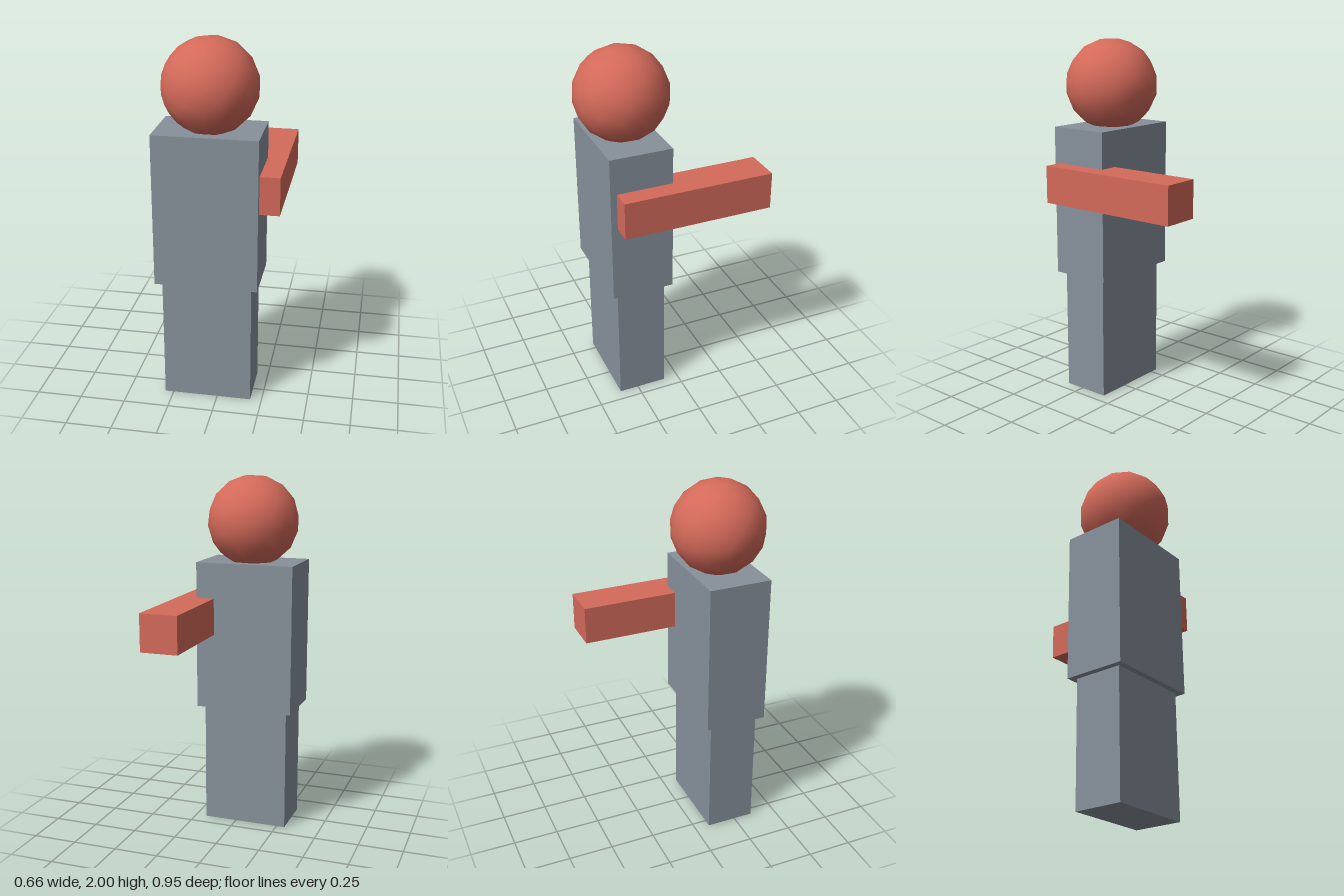
import * as THREE from 'three';

export function createModel() {
  const group = new THREE.Group();
  const slate = new THREE.MeshStandardMaterial({ color: 0x87919b });
  const red = new THREE.MeshStandardMaterial({ color: 0xd46a5a });

  // Box given by its lower and upper corners
  const box = (name, material, min, max) => {
    const size = max.map((v, i) => v - min[i]);
    const mesh = new THREE.Mesh(new THREE.BoxGeometry(...size), material);
    mesh.position.set(...max.map((v, i) => (v + min[i]) / 2));
    mesh.name = name;
    group.add(mesh);
  };

  // Legs as one block, wider torso above
  box('legs', slate, [-0.297, 0, 0.084], [0.187, 0.693, 0.358]);
  box('torso', slate, [-0.331, 0.693, 0.048], [0.223, 1.525, 0.393]);

  // Single arm on the left side, reaching backwards
  box('arm', red, [0.12, 1.12, -0.475], [0.33, 1.326, 0.358]);

  // Faceted ball head resting slightly into the torso
  const head = new THREE.Mesh(new THREE.IcosahedronGeometry(0.255, 2), red);
  head.name = 'head';
  head.position.set(-0.054, 1.747, 0.218);
  head.rotation.set(0.3, 0.4, 0.15);
  group.add(head);

  return group;
}
